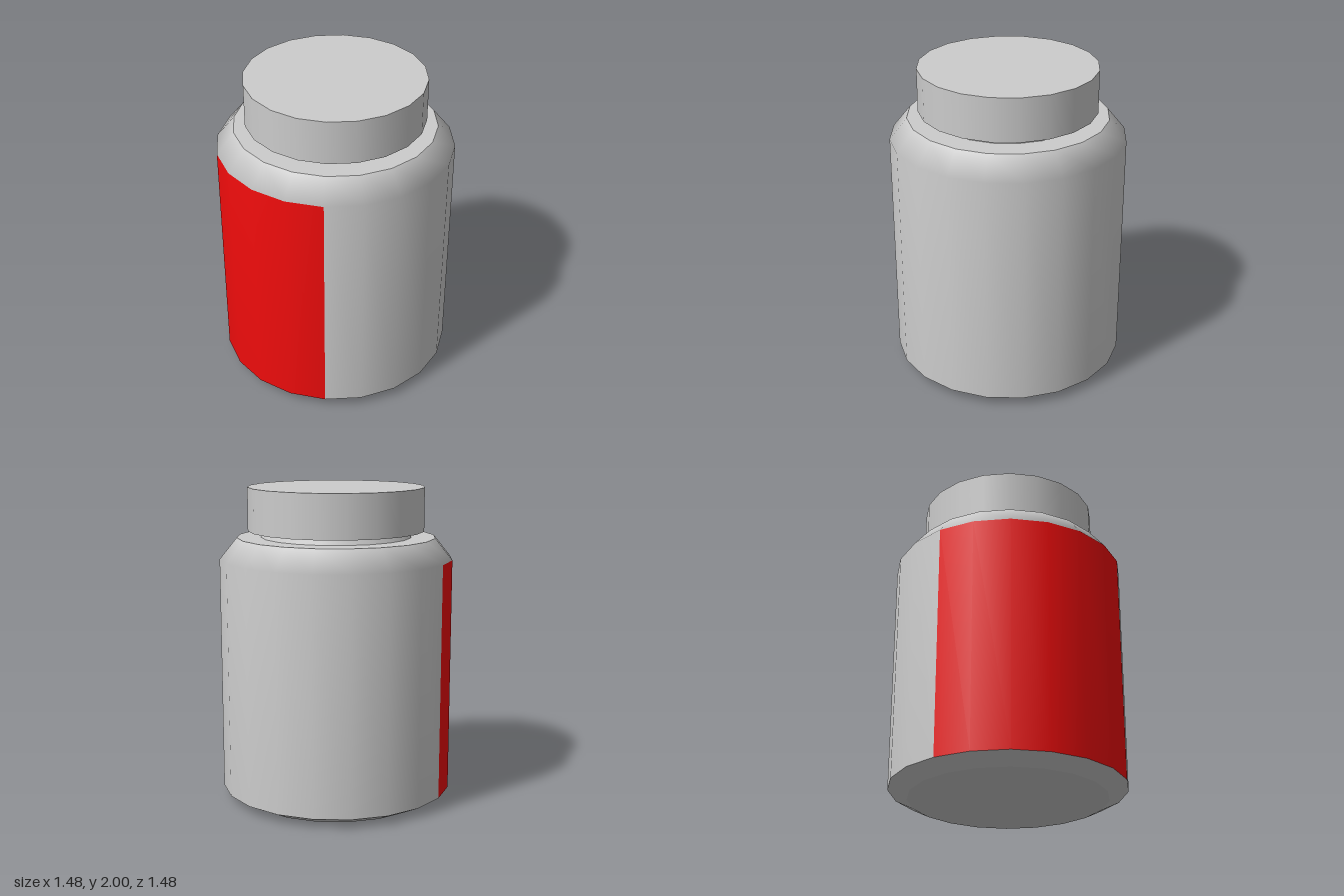
import * as THREE from 'three';

const SIDES = 20;
const STEP = (Math.PI * 2) / SIDES;
const LABEL_START = -4 * STEP; // the label covers six of the twenty sides
const LABEL_SIDES = 6;

const lathe = (profile) => new THREE.LatheGeometry(
  profile.map(([r, y]) => new THREE.Vector2(r, y)), SIDES, LABEL_START, Math.PI * 2);

export function createModel() {
  const model = new THREE.Group();
  model.name = 'jar';
  const grey = new THREE.MeshStandardMaterial({ color: 0xcccccc });
  const red = new THREE.MeshStandardMaterial({ color: 0xee0c0c });

  const add = (name, geometry, material = grey) => {
    const mesh = new THREE.Mesh(geometry, material);
    mesh.name = name;
    model.add(mesh);
    return mesh;
  };

  // Wall and shoulder share smooth normals; the label takes over some wall quads
  const shell = lathe([[0.74, 0.06], [0.74, 1.55], [0.63, 1.685]]);
  const all = Array.from(shell.index.array);
  const isLabel = (n) => {
    const quad = Math.floor(n / 6);
    return quad % 2 === 0 && quad / 2 < LABEL_SIDES;
  };
  const label = shell.clone();
  label.setIndex(all.filter((_, n) => isLabel(n)));
  shell.setIndex(all.filter((_, n) => !isLabel(n)));
  add('body', shell);
  add('label', label, red);

  // Hard-edged bands: each has its own lathe
  add('base', lathe([[0, 0], [0.62, 0]]));
  add('baseBevel', lathe([[0.62, 0], [0.74, 0.06]]));
  add('shoulderRim', lathe([[0.63, 1.685], [0.478, 1.685]]));
  add('neck', lathe([[0.478, 1.685], [0.46, 1.725]]));

  // Lid
  const lid = add('lid', new THREE.CylinderGeometry(0.56, 0.56, 0.275, SIDES));
  lid.position.y = 1.8625;

  return model;
}
